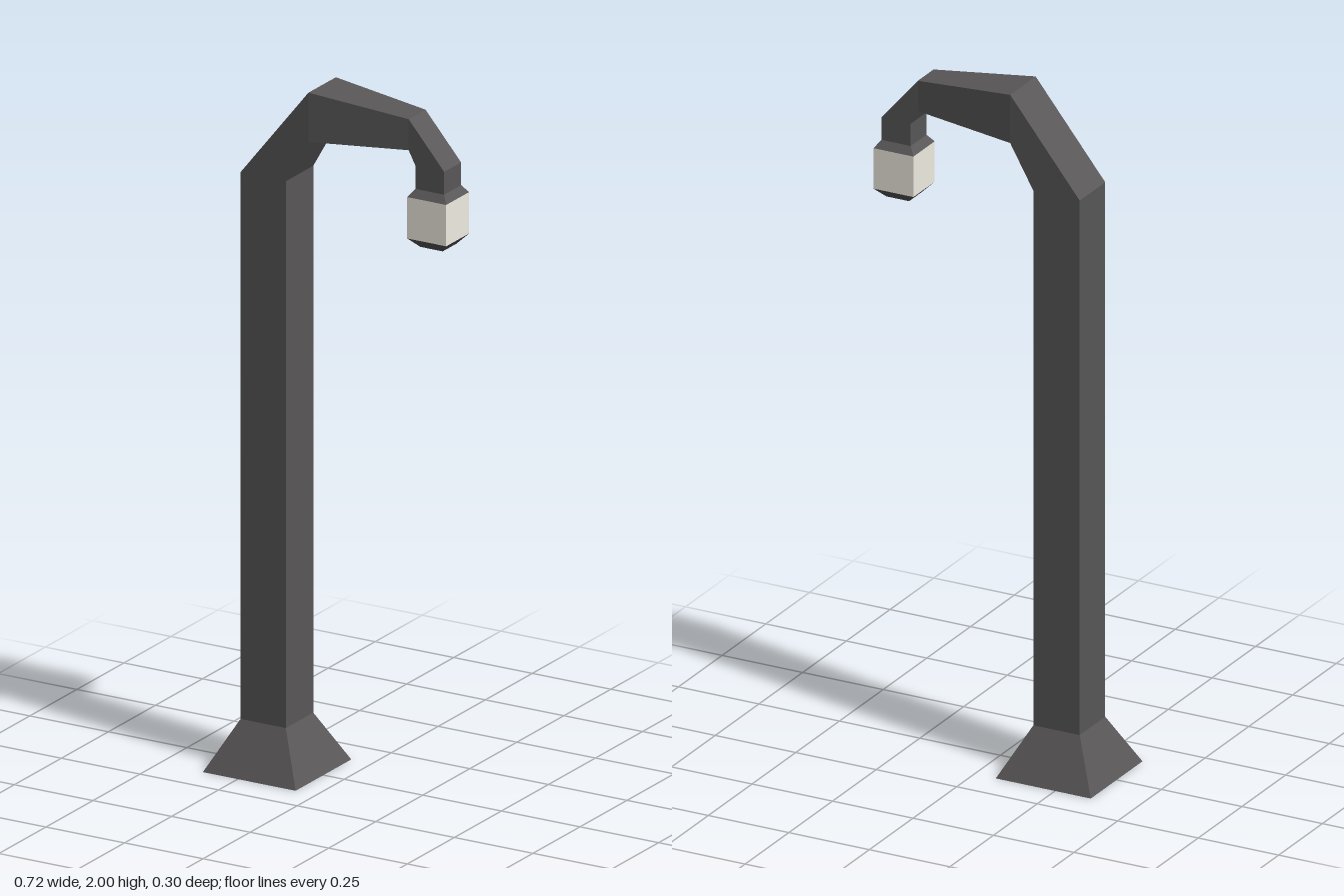
import * as THREE from 'three';

const metal = new THREE.MeshStandardMaterial({ color: 0x595757, flatShading: true });
const glass = new THREE.MeshStandardMaterial({ color: 0xf0ede2, flatShading: true });

// Cross-sections along the lamp post: [outer x, outer y, inner x, inner y, half depth]
const footBottom = [-0.361, 0, -0.066, 0, 0.148];
const footTop = [-0.286, 0.145, -0.142, 0.145, 0.073];
const postTop = [-0.286, 1.73, -0.142, 1.73, 0.073];
const bend = [-0.07, 2.0, -0.07, 1.857, 0.073];
const armEnd = [0.232, 1.97, 0.232, 1.88, 0.045];
const neckTop = [0.345, 1.838, 0.254, 1.838, 0.045];
const neckBottom = [0.345, 1.772, 0.254, 1.772, 0.045];
const lampTop = [0.361, 1.75, 0.237, 1.75, 0.061];
const lampBottom = [0.361, 1.63, 0.237, 1.63, 0.061];
const lampTip = [0.335, 1.603, 0.264, 1.603, 0.036];

// Joins rectangular cross-sections into one skin, with optional end caps
function loft(name, sections, material, capStart = false, capEnd = false) {
  const rings = sections.map(([ox, oy, ix, iy, d]) => [
    [ox, oy, d], [ix, iy, d], [ix, iy, -d], [ox, oy, -d],
  ]);
  const positions = [];
  const quad = (a, b, c, d) => positions.push(...a, ...b, ...c, ...a, ...c, ...d);
  for (let s = 0; s < rings.length - 1; s++) {
    for (let i = 0; i < 4; i++) {
      const j = (i + 1) % 4;
      quad(rings[s][i], rings[s][j], rings[s + 1][j], rings[s + 1][i]);
    }
  }
  if (capStart) quad(...[...rings[0]].reverse());
  if (capEnd) quad(...rings[rings.length - 1]);

  const geometry = new THREE.BufferGeometry();
  geometry.setAttribute('position', new THREE.Float32BufferAttribute(positions, 3));
  geometry.computeVertexNormals();
  const mesh = new THREE.Mesh(geometry, material);
  mesh.name = name;
  return mesh;
}

export function createModel() {
  const model = new THREE.Group();
  model.name = 'streetLamp';
  model.add(
    loft('foot', [footBottom, footTop], metal, true),
    loft('post', [footTop, postTop], metal),
    loft('curvedArm', [postTop, bend, armEnd, neckTop], metal),
    loft('lampNeck', [neckTop, neckBottom, lampTop], metal),
    loft('lampGlass', [lampTop, lampBottom], glass),
    loft('lampBottomCap', [lampBottom, lampTip], metal, false, true),
  );
  return model;
}
